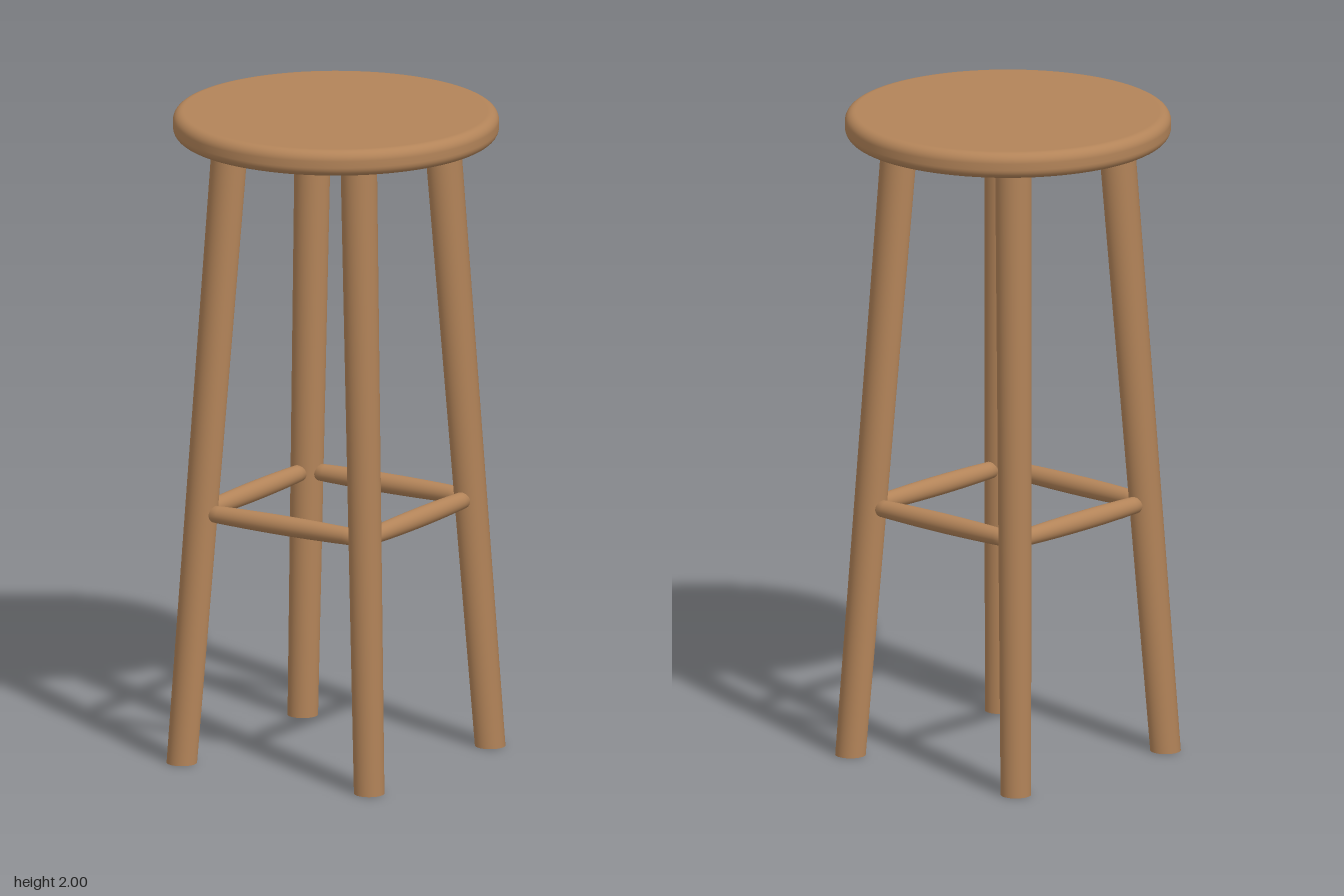
import * as THREE from 'three';

const SEAT_BOTTOM = 1.92, SEAT_TOP = 2, SEAT_R = 0.49, EDGE = 0.03;
const FOOT = 0.335, SHOULDER = 0.23; // leg offset from each axis at floor and seat
const RAIL_Y = 0.775;

const legOffset = (y) => THREE.MathUtils.lerp(FOOT, SHOULDER, y / SEAT_BOTTOM);

// Round slab with softened upper and lower edges
function seatGeometry() {
  const pts = [new THREE.Vector2(0, SEAT_BOTTOM), new THREE.Vector2(SEAT_R - EDGE - 0.003, SEAT_BOTTOM)];
  const corner = (cy, from) => {
    for (let i = 0; i <= 8; i++) {
      const a = from + (i / 8) * Math.PI / 2;
      pts.push(new THREE.Vector2(SEAT_R - EDGE + EDGE * Math.cos(a), cy + EDGE * Math.sin(a)));
    }
  };
  corner(SEAT_BOTTOM + EDGE, -Math.PI / 2);
  corner(SEAT_TOP - EDGE, 0);
  pts.push(new THREE.Vector2(SEAT_R - EDGE - 0.003, SEAT_TOP), new THREE.Vector2(0, SEAT_TOP));
  return new THREE.LatheGeometry(pts, 96);
}

// Tapered leg, sheared outward so that its foot sits flat on the floor
function legGeometry(sx, sz) {
  const h = SEAT_BOTTOM + 0.02;
  const geo = new THREE.CylinderGeometry(0.055, 0.046, h, 40);
  geo.translate(0, h / 2, 0);
  const p = geo.attributes.position;
  for (let i = 0; i < p.count; i++) {
    const d = legOffset(p.getY(i));
    p.setXYZ(i, p.getX(i) + sx * d, p.getY(i), p.getZ(i) + sz * d);
  }
  geo.computeBoundingSphere();
  return geo;
}

// Turned rail, slightly thicker in the middle, running along local y
function railGeometry() {
  const half = 0.27, pts = [new THREE.Vector2(0, -half)];
  for (let i = 0; i <= 12; i++) {
    const t = (i / 12) * 2 - 1;
    pts.push(new THREE.Vector2(0.025 + 0.005 * (1 - t * t), t * half));
  }
  pts.push(new THREE.Vector2(0, half));
  return new THREE.LatheGeometry(pts, 28);
}

export function createModel() {
  const model = new THREE.Group();
  model.name = 'stool';
  const wood = new THREE.MeshStandardMaterial({ color: 0xb38459 });
  wood.name = 'warm wood';

  const add = (geo, name) => {
    const mesh = new THREE.Mesh(geo, wood);
    mesh.name = name;
    model.add(mesh);
    return mesh;
  };

  add(seatGeometry(), 'seat');

  // Four splayed legs
  for (const sz of [1, -1]) {
    for (const sx of [1, -1]) {
      add(legGeometry(sx, sz), (sz > 0 ? 'front' : 'back') + (sx > 0 ? 'Left' : 'Right') + 'Leg');
    }
  }

  // Four rails joining neighbouring legs
  const railGeo = railGeometry();
  const names = ['frontRail', 'leftRail', 'backRail', 'rightRail'];
  names.forEach((name, i) => {
    const a = i * Math.PI / 2, d = legOffset(RAIL_Y);
    const rail = add(railGeo, name);
    rail.rotation.set(0, a, Math.PI / 2);
    rail.position.set(Math.sin(a) * d, RAIL_Y, Math.cos(a) * d);
  });

  return model;
}
